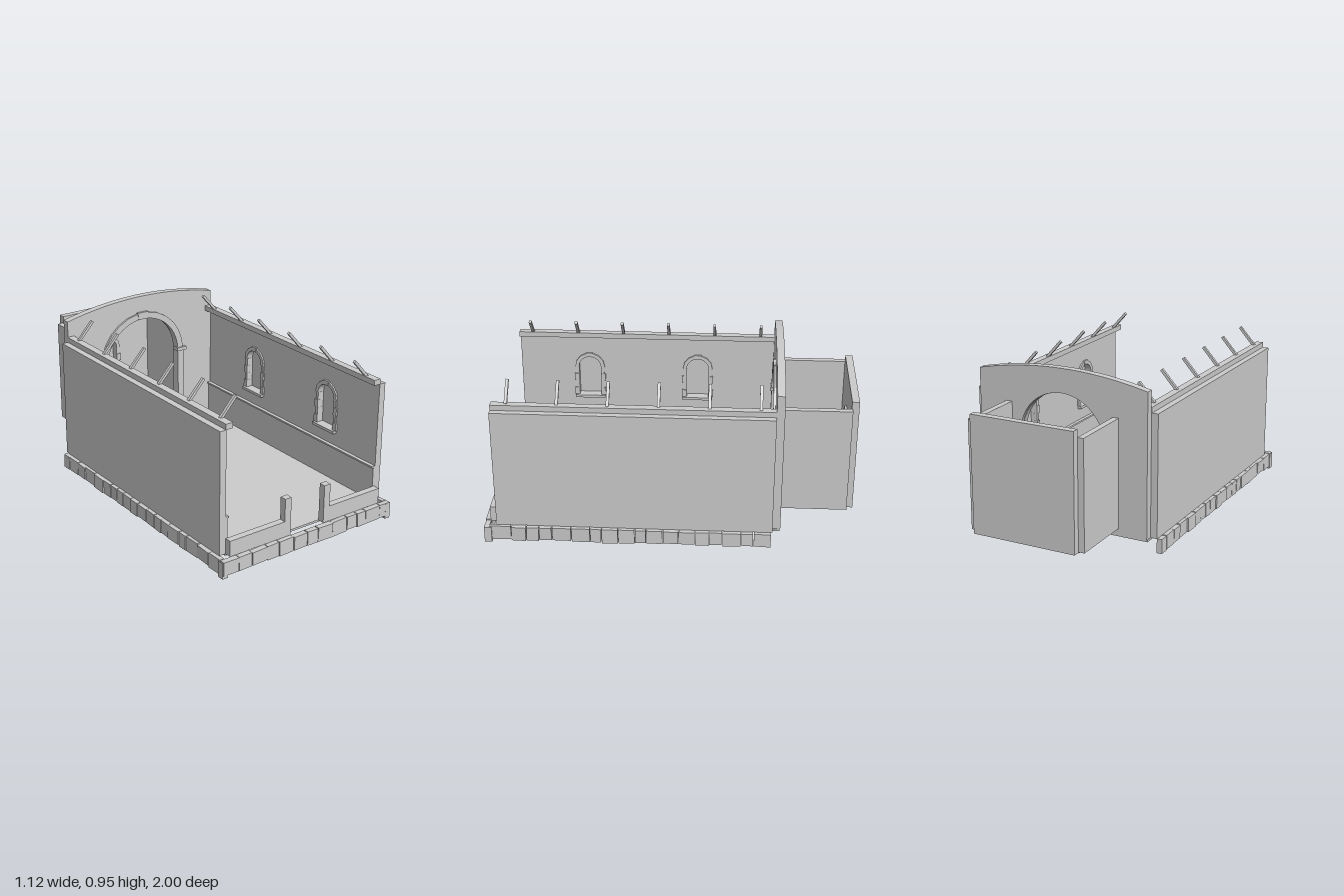
import * as THREE from 'three';

const stone = new THREE.MeshStandardMaterial({ color: 0xcccccc });
stone.name = 'pale stone';

// Seeded random for the irregular masonry
let seed = 7;
const rand = () => (seed = (seed * 16807) % 2147483647) / 2147483647;

function add(parent, name, geometry) {
  const mesh = new THREE.Mesh(geometry, stone);
  mesh.name = name;
  parent.add(mesh);
  return mesh;
}

// Box given by its limits on each axis
function block(parent, name, x0, x1, y0, y1, z0, z1) {
  const mesh = add(parent, name, new THREE.BoxGeometry(x1 - x0, y1 - y0, z1 - z0));
  mesh.position.set((x0 + x1) / 2, (y0 + y1) / 2, (z0 + z1) / 2);
  return mesh;
}

function extrude(parent, name, shape, z0, z1) {
  const geo = new THREE.ExtrudeGeometry(shape, { depth: z1 - z0, bevelEnabled: false, curveSegments: 16 });
  return add(parent, name, geo.translate(0, 0, z0));
}

const polygon = (pts) => new THREE.Shape(pts.map(([x, y]) => new THREE.Vector2(x, y)));

// Round-headed opening
function archPath(x, bottom, spring, r) {
  const p = new THREE.Path();
  p.moveTo(x - r, bottom);
  p.lineTo(x + r, bottom);
  p.lineTo(x + r, spring);
  p.absarc(x, spring, r, 0, Math.PI, false);
  p.lineTo(x - r, bottom);
  return p;
}

// Ring of wedge stones with a raised keystone
function archStones(parent, x, y, r0, r1, count, z0, z1, raise) {
  for (let i = 0; i < count; i++) {
    const a0 = (i / count) * Math.PI, a1 = ((i + 1) / count) * Math.PI;
    const key = i === (count - 1) / 2;
    const out = key ? r1 + raise : r1;
    const at = (r, a) => [x + r * Math.cos(a), y + r * Math.sin(a)];
    const am = (a0 + a1) / 2;
    extrude(parent, key ? 'keystone' : 'archStone',
      polygon([at(r0, a0), at(out, a0), at(out, a1), at(r0, a1), at(r0, am)]), z0, z1 + (key ? 0.003 : 0));
  }
}

// Wall facing +z with blind arched windows; u = window centres, sill = window base
function nichedWall(name, u0, u1, y0, y1, thick, windows, sill) {
  const wall = new THREE.Group();
  wall.name = name;
  const shape = polygon([[u0, y0], [u1, y0], [u1, y1], [u0, y1]]);
  const spring = sill + 0.18, r = 0.065;
  windows.forEach((u) => shape.holes.push(archPath(u, sill, spring, r)));
  extrude(wall, 'wallFace', shape, -thick + 0.006, 0);
  block(wall, 'wallBack', u0, u1, y0, y1, -thick, -thick + 0.006);
  for (const u of windows) {
    const frame = new THREE.Group();
    frame.name = 'windowFrame';
    wall.add(frame);
    block(frame, 'windowSill', u - 0.088, u + 0.088, sill - 0.016, sill, -0.02, 0.024);
    archStones(frame, u, spring, r, 0.088, 7, -0.02, 0.009, 0.004);
    // Alternating quoins up each jamb
    for (const s of [-1, 1]) {
      for (let i = 0; i < 4; i++) {
        const outer = i % 2 ? 0.083 : 0.092;
        const a = u + s * (r - 0.001), b = u + s * outer;
        block(frame, 'quoin', Math.min(a, b), Math.max(a, b),
          sill + i * 0.045, sill + (i + 1) * 0.045 - 0.001, -0.02, i % 2 ? 0.007 : 0.01);
      }
    }
  }
  return wall;
}

// Row of uneven foundation stones; place(a, b) gives x0, x1, z0, z1
function stoneRow(parent, start, end, place) {
  let a = start;
  while (a < end - 0.01) {
    let b = a + 0.06 + rand() * 0.045;
    if (end - b < 0.05) b = end;
    const [x0, x1, z0, z1] = place(a + 0.002, b - 0.002);
    const m = block(parent, 'foundationStone', x0, x1, 0.01 + rand() * 0.01, 0.092 + rand() * 0.003, z0, z1);
    m.rotation.set((rand() - 0.5) * 0.06, (rand() - 0.5) * 0.05, (rand() - 0.5) * 0.06);
    a = b;
  }
}

export function createModel() {
  const model = new THREE.Group();
  model.name = 'chapel';

  // Nave floor, step and chancel floor
  block(model, 'naveFloor', -0.5, 0.5, 0.085, 0.097, -0.6, 0.93);
  block(model, 'chancelStep', -0.25, 0.25, 0.097, 0.122, -0.625, -0.56);
  block(model, 'chancelFloor', -0.3, 0.3, 0.122, 0.13, -0.96, -0.625);

  // Nave side walls with two blind windows each
  const left = nichedWall('leftWall', -0.56, 0.93, 0.095, 0.77, 0.038, [0.525, -0.115], 0.39);
  left.rotation.y = -Math.PI / 2;
  left.position.x = 0.497;
  const right = nichedWall('rightWall', -0.93, 0.56, 0.095, 0.77, 0.038, [-0.525, 0.115], 0.39);
  right.rotation.y = Math.PI / 2;
  right.position.x = -0.497;
  model.add(left, right);

  for (const s of [-1, 1]) {
    const side = (name, a, b, y0, y1, z0, z1) =>
      block(model, name, Math.min(s * a, s * b), Math.max(s * a, s * b), y0, y1, z0, z1);
    // Wall plate, wainscot and its rail
    side('wallPlate', 0.458, 0.5, 0.77, 0.8, -0.56, 0.93);
    side('wainscot', 0.485, 0.498, 0.097, 0.29, -0.56, 0.93);
    side('wainscotRail', 0.476, 0.498, 0.29, 0.3, -0.56, 0.93);
    // Low front wall and doorposts
    side('lowFrontWall', 0.15, 0.497, 0.095, 0.182, 0.93, 0.968);
    side('doorPost', 0.11, 0.15, 0.095, 0.31, 0.93, 0.968);
    // Chancel side walls
    side('chancelWall', 0.3, 0.334, 0.13, 0.73, -0.965, -0.6);
    // Rafter stubs
    for (let i = 0; i < 6; i++) {
      const rafter = add(model, 'rafter', new THREE.BoxGeometry(0.015, 0.135, 0.016));
      rafter.position.set(s * 0.429, 0.846, 0.85 - i * 0.266);
      rafter.rotation.z = s * 0.73;
    }
    // Arch jambs and capitals
    side('archJamb', 0.248, 0.287, 0.097, 0.56, -0.585, -0.548);
    side('archCapital', 0.24, 0.303, 0.56, 0.58, -0.59, -0.54);
    // Side foundation stones
    stoneRow(model, -0.555, 0.965, (a, b) => {
      const out = 0.552 + rand() * 0.008;
      return s > 0 ? [0.53, out, a, b] : [-out, -0.53, a, b];
    });
    side('cornerStone', 0.53, 0.562, 0, 0.09, 0.955, 0.995);
  }

  // Front foundation stones
  stoneRow(model, -0.56, 0.56, (a, b) => [a, b, 0.967, 0.994 + rand() * 0.006]);

  // Arched gable wall between nave and chancel, with a curved top
  const gable = new THREE.Shape();
  gable.moveTo(-0.497, 0.095);
  gable.lineTo(-0.25, 0.095);
  gable.lineTo(-0.25, 0.565);
  gable.absarc(0, 0.565, 0.25, Math.PI, 0, true);
  gable.lineTo(0.25, 0.095);
  gable.lineTo(0.497, 0.095);
  gable.lineTo(0.497, 0.89);
  gable.quadraticCurveTo(0, 1.006, -0.497, 0.89);
  extrude(model, 'gableWall', gable, -0.603, -0.56);
  archStones(model, 0, 0.565, 0.247, 0.284, 13, -0.585, -0.548, 0.006);

  // Chancel back wall with its window
  const back = nichedWall('chancelBackWall', -0.298, 0.298, 0.125, 0.77, 0.04, [0], 0.32);
  back.position.z = -0.96;
  model.add(back);

  return model;
}
